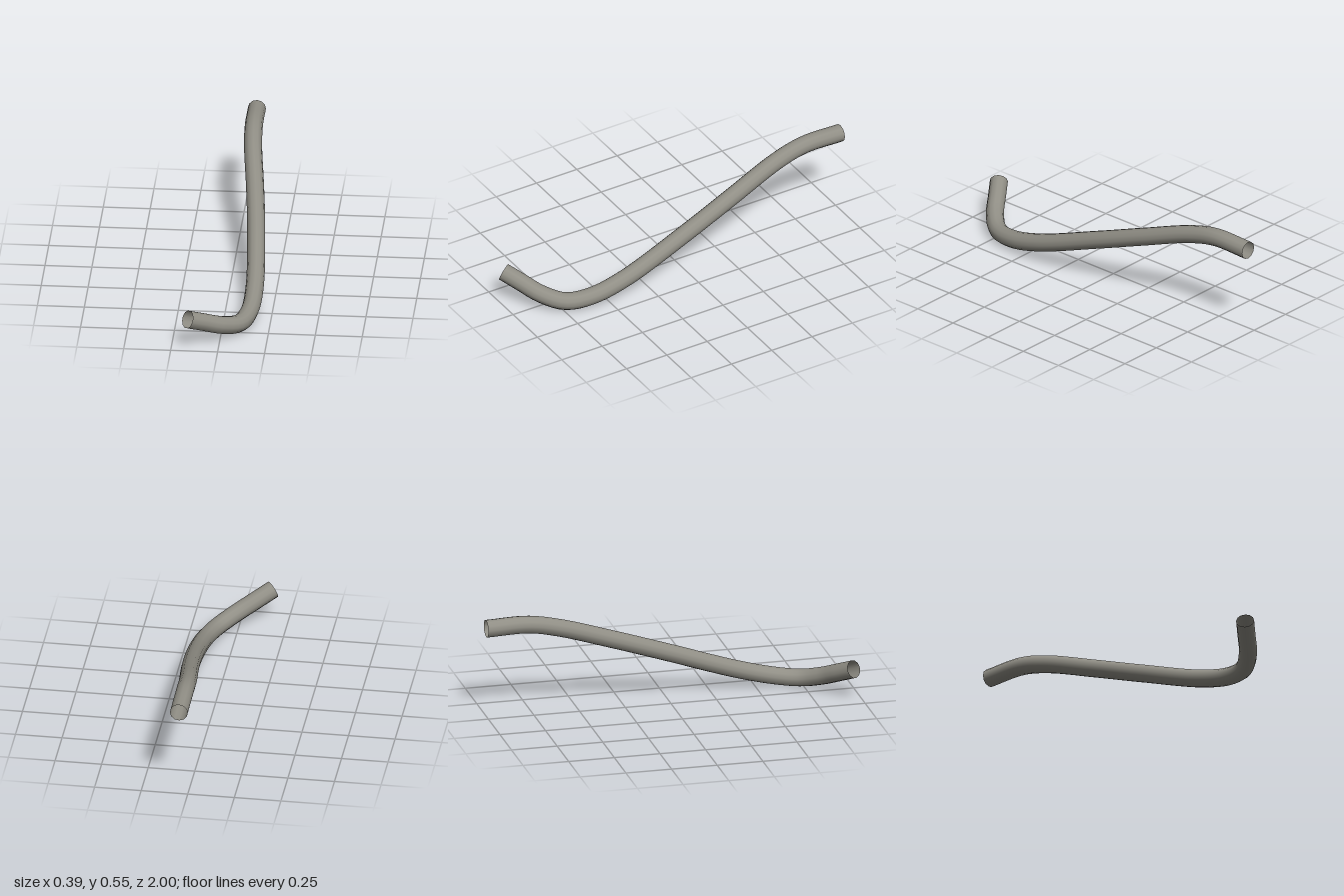
import * as THREE from 'three';

export function createModel() {
  const group = new THREE.Group();
  group.name = 'bentPipe';

  // Centreline from the front end, round the low bend, up to the back end
  const centreline = new THREE.CatmullRomCurve3([
    [-0.163, 0.168, 0.96],
    [-0.08, 0.127, 0.9],
    [0.01, 0.083, 0.834],
    [0.095, 0.051, 0.735],
    [0.137, 0.06, 0.6],
    [0.149, 0.109, 0.4],
    [0.125, 0.251, 0],
    [0.095, 0.359, -0.3],
    [0.06, 0.462, -0.6],
    [0.05, 0.498, -0.77],
    [0.048, 0.495, -1],
  ].map((p) => new THREE.Vector3(...p)), false, 'centripetal');

  // Hollow open-ended tube, seen from inside at both ends
  const pipe = new THREE.Mesh(
    new THREE.TubeGeometry(centreline, 64, 0.048, 12, false),
    new THREE.MeshStandardMaterial({ color: 0x918f86, side: THREE.DoubleSide }),
  );
  pipe.name = 'pipe';
  group.add(pipe);

  return group;
}
